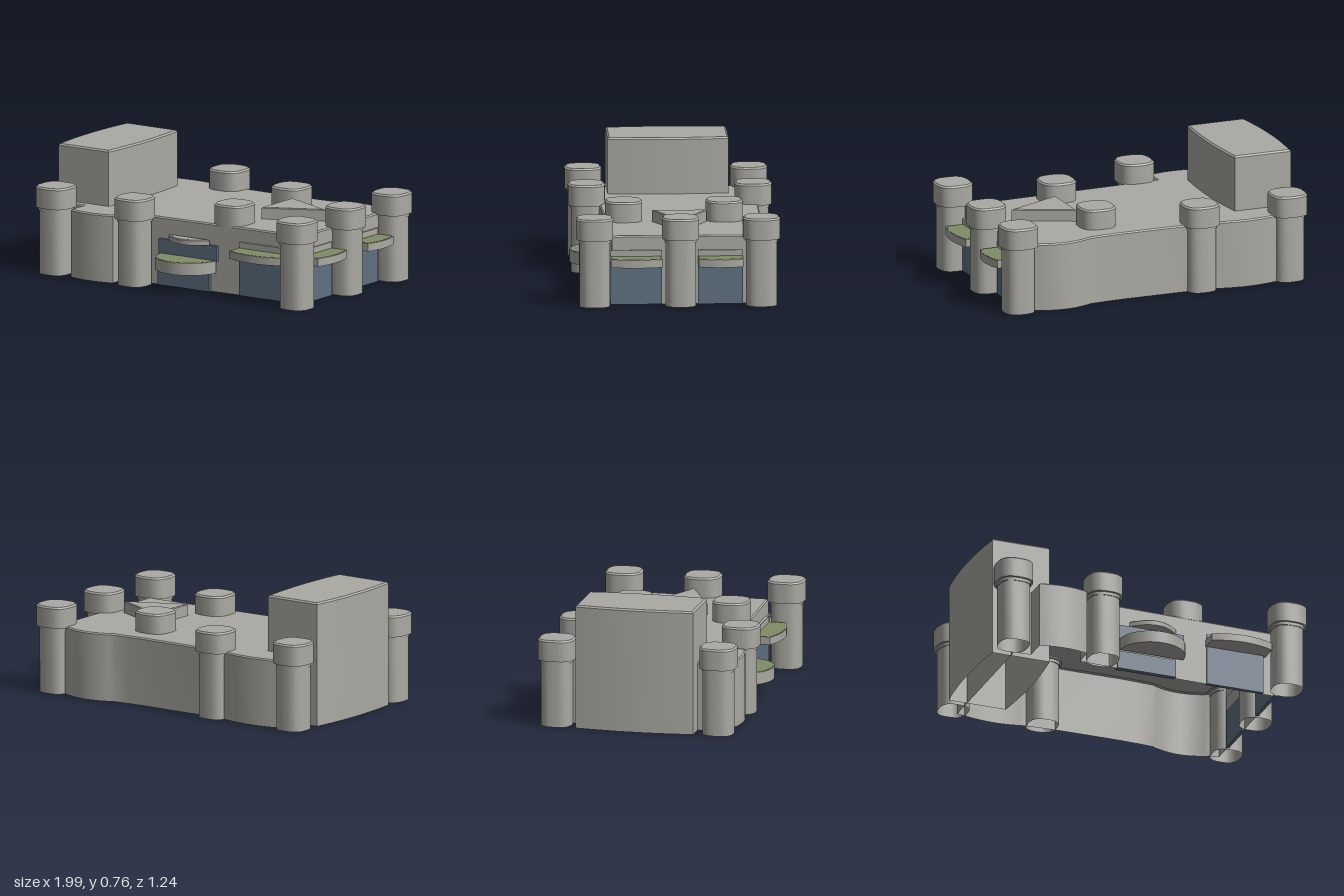
import * as THREE from 'three';
import { toCreasedNormals } from 'three/addons/utils/BufferGeometryUtils.js';

const stone = new THREE.MeshStandardMaterial({ color: 0xaaa9a3, side: THREE.DoubleSide });
stone.name = 'stone grey';
const glass = new THREE.MeshStandardMaterial({ color: 0x5f7083 });
glass.name = 'glass blue';
const green = new THREE.MeshStandardMaterial({ color: 0x808c66 });
green.name = 'awning green';

// Points from a to b (b excluded) bowed outward by h
function bow(ax, az, bx, bz, h, n = 12) {
  const dx = bx - ax, dz = bz - az, len = Math.hypot(dx, dz);
  return Array.from({ length: n }, (_, i) => {
    const t = i / n, k = 4 * t * (1 - t) * h / len;
    return [ax + dx * t + dz * k, az + dz * t - dx * k];
  });
}

// Superellipse outline for the towers
function roundedSquare(cx, cz, r, n = 40) {
  const f = (v) => Math.sign(v) * Math.abs(v) ** 0.72;
  return Array.from({ length: n }, (_, i) => {
    const a = (i / n) * Math.PI * 2;
    return [cx + r * f(Math.cos(a)), cz + r * f(Math.sin(a))];
  });
}

// Move an outline inward by d with mitred corners
function inset(pts, d) {
  const n = pts.length;
  const normal = (a, b) => {
    const l = Math.hypot(b[0] - a[0], b[1] - a[1]);
    return [(b[1] - a[1]) / l, (a[0] - b[0]) / l];
  };
  return pts.map((p, i) => {
    const u = normal(pts[(i + n - 1) % n], p), v = normal(p, pts[(i + 1) % n]);
    const s = d / Math.max(0.3, 1 + u[0] * v[0] + u[1] * v[1]);
    return [p[0] - (u[0] + v[0]) * s, p[1] - (u[1] + v[1]) * s];
  });
}

// Upright block on an (x, z) outline, bevelled at the top, optionally closed below
function block(name, pts, y0, y1, { bevel = 0, floor = true, material = stone } = {}) {
  const levels = [[y0, pts]];
  if (bevel) levels.push([y1 - bevel, pts]);
  levels.push([y1, bevel ? inset(pts, bevel) : pts]);
  const pos = [], n = pts.length;
  const put = (y, p) => pos.push(p[0], y, p[1]);
  for (let k = 0; k + 1 < levels.length; k++) {
    const [ya, A] = levels[k], [yb, B] = levels[k + 1];
    for (let i = 0; i < n; i++) {
      const j = (i + 1) % n;
      put(ya, A[i]); put(yb, B[i]); put(yb, B[j]);
      put(ya, A[i]); put(yb, B[j]); put(ya, A[j]);
    }
  }
  const top = levels[levels.length - 1][1];
  const faces = THREE.ShapeUtils.triangulateShape(top.map((p) => new THREE.Vector2(...p)), []);
  for (const [a, b, c] of faces) {
    put(y1, top[a]); put(y1, top[c]); put(y1, top[b]);
    if (floor) { put(y0, pts[a]); put(y0, pts[b]); put(y0, pts[c]); }
  }
  const geo = new THREE.BufferGeometry();
  geo.setAttribute('position', new THREE.Float32BufferAttribute(pos, 3));
  const mesh = new THREE.Mesh(toCreasedNormals(geo, 0.5), material);
  mesh.name = name;
  return mesh;
}

function box(name, x0, x1, y0, y1, z0, z1, material) {
  const mesh = new THREE.Mesh(new THREE.BoxGeometry(x1 - x0, y1 - y0, z1 - z0), material);
  mesh.position.set((x0 + x1) / 2, (y0 + y1) / 2, (z0 + z1) / 2);
  mesh.name = name;
  return mesh;
}

function cap(x, z, y0) {
  return block('towerCap', roundedSquare(x, z, 0.112), y0, 0.54, { bevel: 0.01 });
}

function tower(x, z) {
  const g = new THREE.Group();
  g.name = 'tower';
  g.add(block('column', roundedSquare(x, z, 0.093), 0, 0.39, { floor: false }));
  g.add(block('neck', roundedSquare(x, z, 0.097), 0.39, 0.412, { floor: false }));
  g.add(cap(x, z, 0.41));
  return g;
}

// Grey canopy with a thin green top
function awning(pts, y0, y1) {
  const g = new THREE.Group();
  g.name = 'awning';
  g.add(block('awningBody', pts, y0, y1 - 0.002));
  g.add(block('awningTop', inset(pts, 0.006), y1 - 0.003, y1, { material: green }));
  return g;
}

export function createModel() {
  const model = new THREE.Group();
  model.name = 'building';

  // Main hall with bowed bays, open below
  const hall = [
    [-0.85, -0.54],
    ...bow(-0.79, -0.55, -0.41, -0.55, 0.025),
    [-0.41, -0.55], [-0.2, -0.537], [0.2, -0.535], [0.32, -0.54],
    ...bow(0.42, -0.547, 0.79, -0.547, 0.048),
    [0.79, -0.547], [0.845, -0.54], [0.845, 0.39],
    [-0.2, 0.42], [-0.433, 0.43],
    ...bow(-0.433, 0.55, -0.742, 0.55, 0.025),
    [-0.742, 0.55], [-0.742, 0.41], [-0.85, 0.405],
  ];
  model.add(block('hall', hall, 0, 0.418, { bevel: 0.008, floor: false }));

  // Tall block with bowed long sides
  const tall = [
    ...bow(-0.6, -0.375, -0.6, 0.355, 0.022), [-0.6, 0.355],
    ...bow(-0.968, 0.355, -0.968, -0.375, 0.025), [-0.968, -0.375],
  ];
  model.add(block('tallBlock', tall, 0, 0.762, { bevel: 0.01, floor: false }));

  // Towers around the edge and two caps on the roof
  for (const [x, z] of [[-0.888, -0.507], [-0.31, -0.51], [0.88, -0.51], [0.88, -0.022],
    [0.88, 0.497], [-0.31, 0.497], [-0.888, 0.494]]) model.add(tower(x, z));
  for (const z of [-0.31, 0.297]) model.add(cap(0.285, z, 0.41));

  // Triangular roof block
  model.add(block('roofTriangle', [[0.365, -0.2], [0.722, -0.038], [0.365, 0.127]], 0.41, 0.49, { bevel: 0.005 }));

  // Side bays: pane, lintel and awning
  for (const [z0, z1] of [[-0.4, -0.13], [0.09, 0.4]]) {
    model.add(box('sideWindow', 0.835, 0.855, 0, 0.245, z0, z1, glass));
    model.add(box('sideLintel', 0.835, 0.855, 0.245, 0.33, z0, z1, stone));
    model.add(awning([[0.855, z0], ...bow(0.967, z0, 0.967, z1, 0.026), [0.967, z1], [0.855, z1]], 0.245, 0.295));
  }

  // Front bay
  model.add(box('frontWindow', 0.397, 0.762, 0, 0.245, 0.388, 0.414, glass));
  model.add(box('frontLintel', 0.397, 0.762, 0.245, 0.33, 0.388, 0.414, stone));
  model.add(awning([[0.39, 0.405], [0.78, 0.395], ...bow(0.78, 0.51, 0.39, 0.51, 0.045), [0.39, 0.51]], 0.245, 0.293));

  // Entrance: two panes, half-round awning and a small canopy
  model.add(box('entranceGlass', -0.19, 0.19, 0, 0.115, 0.395, 0.43, glass));
  model.add(box('entranceUpperGlass', -0.18, 0.242, 0.19, 0.287, 0.395, 0.43, glass));
  const half = Array.from({ length: 25 }, (_, i) => {
    const a = (i / 24) * Math.PI;
    return [0.033 + 0.205 * Math.cos(a), 0.428 + 0.187 * Math.sin(a)];
  });
  model.add(awning(half, 0.122, 0.198));
  model.add(block('entranceCanopy', [...bow(0.19, 0.425, -0.11, 0.425, 0.08), [-0.11, 0.425]], 0.287, 0.32, { bevel: 0.005 }));

  return model;
}
